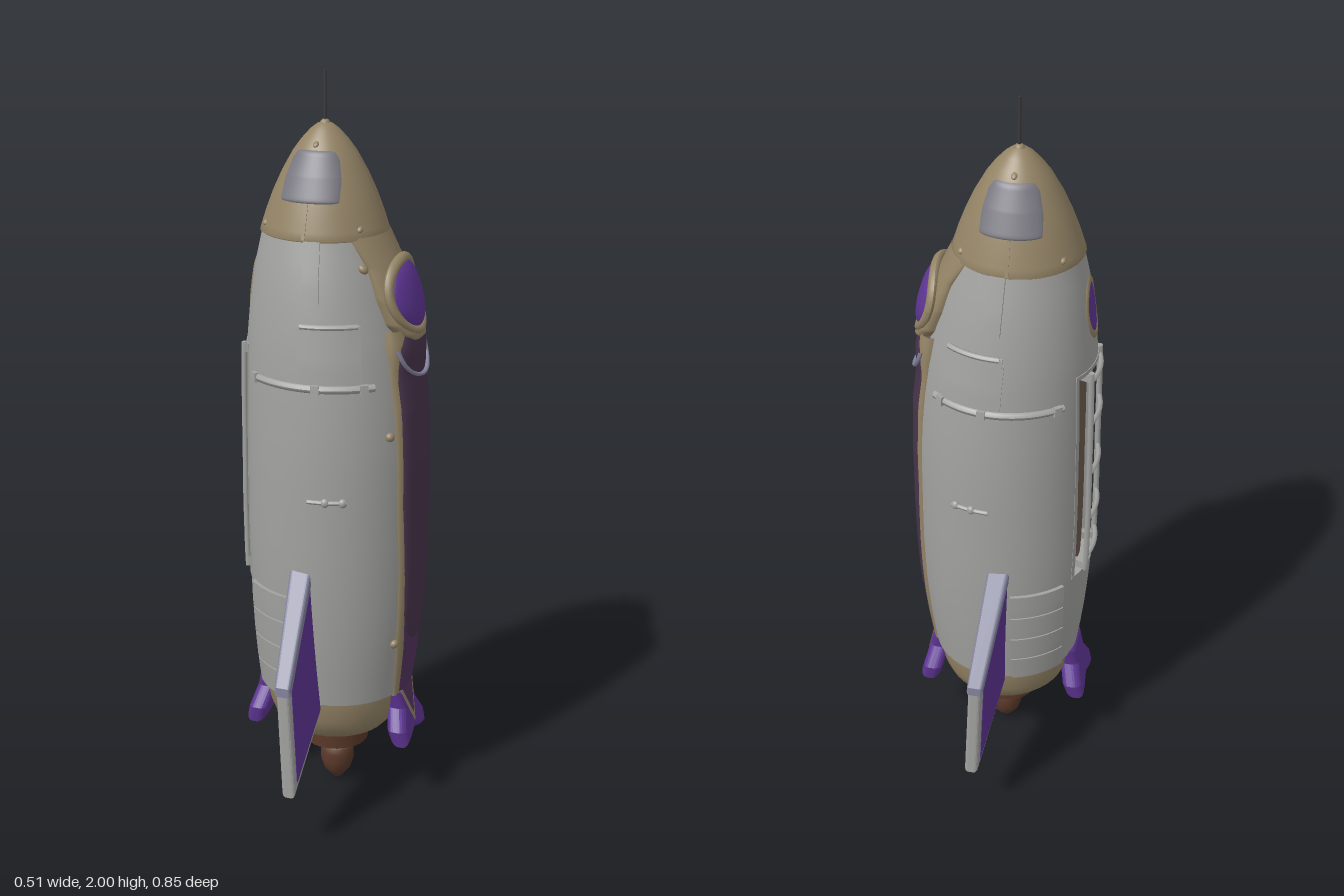
import * as THREE from 'three';

const mat = (name, color) => {
  const m = new THREE.MeshStandardMaterial({ color });
  m.name = name;
  return m;
};
const GREY = mat('hull grey', 0xa2a2a0), TAN = mat('tan', 0x948466), PURPLE = mat('purple', 0x5e3594),
  PLUM = mat('dark plum', 0x48344c), MAUVE = mat('mauve', 0x54345f), BROWN = mat('brown', 0x5c3a2a),
  GLASS = mat('window grey', 0x7a7982), EDGE = mat('fin edge', 0x82829c), DARK = mat('antenna dark', 0x3a3a3a),
  NICHE = mat('niche brown', 0x6d5c50);

// Hull stations: y, centre x, radius x, radius z
const HULL = [
  [0.33, 0, 0.203, 0.195], [0.42, 0, 0.216, 0.207], [0.5, 0, 0.225, 0.215], [0.6, 0, 0.233, 0.222],
  [0.7, 0, 0.237, 0.227], [0.85, 0, 0.239, 0.229], [1, 0, 0.238, 0.229], [1.15, -0.003, 0.235, 0.224],
  [1.3, -0.012, 0.224, 0.212], [1.4, -0.019, 0.208, 0.199], [1.5, -0.025, 0.189, 0.181],
  [1.6, -0.03, 0.163, 0.156], [1.65, -0.03, 0.147, 0.141], [1.7, -0.03, 0.128, 0.124],
  [1.75, -0.03, 0.105, 0.103], [1.8, -0.03, 0.077, 0.077], [1.83, -0.03, 0.055, 0.055],
  [1.855, -0.03, 0.032, 0.032], [1.868, -0.03, 0.015, 0.015], [1.875, -0.03, 0, 0],
];
function lerpTable(table, y) {
  let i = 0;
  while (i < table.length - 2 && y > table[i + 1][0]) i++;
  const a = table[i], b = table[i + 1];
  const t = Math.min(1, Math.max(0, (y - a[0]) / (b[0] - a[0])));
  return a.map((v, k) => v + (b[k] - v) * t);
}
function onHull(y, theta, off) {
  const [, cx, rx, rz] = lerpTable(HULL, y);
  return [cx + (rx + off) * Math.cos(theta), y, (rz + off) * Math.sin(theta)];
}

// Grid surface following the hull; skip(i, j) leaves cells open
function grid(rows, cols, point, skip = () => false) {
  const pos = [], idx = [], open = [];
  for (let i = 0; i <= rows; i++) for (let j = 0; j <= cols; j++) pos.push(...point(i, j));
  for (let i = 0; i < rows; i++) for (let j = 0; j < cols; j++) {
    const a = i * (cols + 1) + j, b = a + 1, c = a + cols + 1, d = c + 1;
    idx.push(a, c, d, a, d, b);
    if (!skip(i, j)) open.push(a, c, d, a, d, b);
  }
  const g = new THREE.BufferGeometry();
  g.setAttribute('position', new THREE.Float32BufferAttribute(pos, 3));
  g.setIndex(idx);
  g.computeVertexNormals();
  g.setIndex(open);
  return g;
}

// Raised plate on the hull; rows are [y, half width, offset]
function plate(theta0, table, n = 40, m = 20) {
  const y0 = table[0][0], y1 = table[table.length - 1][0];
  return grid(n, m, (i, j) => {
    const [y, w, off] = lerpTable(table, y0 + (y1 - y0) * i / n);
    const s = Math.sin((j / m - 0.5) * Math.PI);
    const [, , rx, rz] = lerpTable(HULL, y);
    const edge = Math.sqrt(Math.max(0, 1 - s ** 8));
    return onHull(y, theta0 + s * w / ((rx + rz) / 2), -0.004 + (off + 0.004) * edge);
  });
}

// Bend a geometry onto the hull: x runs around to the right, y up, z outward
function wrap(geo, theta0, u0, y0, off = 0) {
  const p = geo.attributes.position;
  for (let i = 0; i < p.count; i++) {
    const y = y0 + p.getY(i), [, , rx, rz] = lerpTable(HULL, y);
    p.setXYZ(i, ...onHull(y, theta0 - (u0 + p.getX(i)) / ((rx + rz) / 2), off + p.getZ(i)));
  }
  geo.computeVertexNormals();
  return geo;
}
// Shift vertices in x by a rule of their position
function bendX(geo, rule) {
  const p = geo.attributes.position;
  for (let i = 0; i < p.count; i++) p.setX(i, rule(p.getX(i), p.getY(i), p.getZ(i)));
  geo.computeVertexNormals();
  return geo;
}
const box = (w, h, d) => new THREE.BoxGeometry(w, h, d, 8, 8, 1);
const bar = (len, r) => new THREE.CylinderGeometry(r, r, len, 8, 16).rotateZ(Math.PI / 2);
const post = (len, r) => new THREE.CylinderGeometry(r, r, len, 8, 24);
const ball = (x, y, z) => new THREE.SphereGeometry(1, 28, 18).scale(x, y, z);
const lathe = pts => new THREE.LatheGeometry(pts.map(p => new THREE.Vector2(...p)), 40);
const outline = pts => new THREE.Shape(pts.map(p => new THREE.Vector2(...p)));

export function createModel() {
  const root = new THREE.Group();
  root.name = 'rocket';
  const add = (name, geo, material) => {
    const m = new THREE.Mesh(geo, material);
    m.name = name;
    root.add(m);
  };

  // Hull with an open niche for the ladder on the -x side
  const ys = [0.33, 0.4, 0.47, 0.53, 0.59, 0.65, 0.72, 0.8, 0.9, 1, 1.1, 1.2, 1.3, 1.35, 1.4, 1.45, 1.5, 1.55, 1.605];
  const lo = ys.indexOf(0.65), hi = ys.indexOf(1.3);
  add('hull', grid(ys.length - 1, 48, (i, j) => onHull(ys[i], j * Math.PI / 24, 0),
    (i, j) => i >= lo && i < hi && j >= 20 && j < 28), GREY);

  // Ladder niche and ladder
  const L = Math.PI;
  add('nicheBack', wrap(box(0.26, 0.67, 0.006), L, 0, 0.975, -0.033), NICHE);
  for (const s of [-1, 1]) {
    add('nicheWall', wrap(box(0.012, 0.66, 0.038), L, s * 0.12, 0.975, -0.018), GREY);
    add('nicheLedge', wrap(box(0.25, 0.012, 0.038), L, 0, 0.975 + s * 0.325, -0.017), GREY);
    add('ladderRail', wrap(post(0.64, 0.008), L, s * 0.07, 0.975, 0.007), GREY);
    for (const y of [0.67, 1.28]) add('railMount', wrap(box(0.016, 0.022, 0.04), L, s * 0.07, y, -0.013), GREY);
  }
  for (const y of [0.7, 0.83, 0.98, 1.14, 1.27]) add('ladderRung', wrap(bar(0.14, 0.007), L, 0, y, 0.007), GREY);

  // Nose cone with lip, antenna
  const ny = [1.595, 1.6, 1.62, 1.65, 1.675, 1.7, 1.725, 1.75, 1.775, 1.8, 1.83, 1.855, 1.868, 1.875];
  add('noseCone', grid(ny.length - 1, 48, (i, j) =>
    onHull(ny[i], j * Math.PI / 24, i === 0 ? -0.002 : i === ny.length - 1 ? 0 : 0.005)), TAN);
  add('antenna', new THREE.CylinderGeometry(0.004, 0.005, 0.135, 8).translate(-0.03, 1.9325, 0), DARK);
  add('antennaBase', new THREE.SphereGeometry(0.014, 14, 10).translate(-0.03, 1.866, 0), TAN);

  // Front and back fittings
  for (const s of [-1, 1]) {
    const T = s * Math.PI / 2;
    const fit = (name, geo, u, y, off, m = GREY) => add(name, wrap(geo, T, s * u, y, off), m);
    add('cockpitWindow', plate(T, [[1.688, 0.082, 0.004], [1.692, 0.087, 0.008], [1.74, 0.086, 0.008],
      [1.79, 0.072, 0.008], [1.808, 0.055, 0.008], [1.812, 0.045, 0.004]]), GLASS);
    fit('noseSeam', box(0.008, 0.085, 0.006), 0, 1.645, 0.004, TAN);
    fit('upperStrip', box(0.04, 0.15, 0.012), 0.022, 1.525, 0.003);
    fit('hatchPanel', box(0.16, 0.13, 0.012), 0.065, 1.315, 0.002);
    fit('hatchHandle', box(0.155, 0.03, 0.018), 0.067, 1.38, 0.002);
    fit('hatchHandle', bar(0.14, 0.007), 0.067, 1.393, 0.006);
    fit('curvedRail', bar(0.36, 0.011), 0, 1.235, -0.002);
    for (const u of [-0.16, 0.03, 0.15]) fit('railClip', box(0.02, 0.024, 0.022), u, 1.235, 0.001);
    fit('smallHandle', bar(0.1, 0.006), 0.055, 0.935, 0.003);
    for (const u of [0.05, 0.095]) fit('handleKnob', ball(0.011, 0.012, 0.009), u, 0.935, 0.003);
    for (let k = 0; k < 4; k++) fit('ventStep', box(0.15, 0.076, 0.016), -0.125, 0.373 + k * 0.08, 0.002);
    for (const u of [-0.14, 0.14]) fit('noseBolt', ball(0.008, 0.008, 0.008), u, 1.625, 0.003, TAN);
    fit('noseBolt', ball(0.007, 0.007, 0.007), 0, 1.825, 0.006, TAN);
  }

  // Long side panel with its frame, bolts along one edge
  add('panelFrame', plate(0, [[0.325, 0.072, 0.007], [0.5, 0.097, 0.008], [0.9, 0.118, 0.009],
    [1.25, 0.12, 0.012], [1.32, 0.118, 0.024], [1.37, 0.11, 0.026]]), TAN);
  add('lowerPanel', plate(0, [[0.335, 0.06, 0.01], [0.56, 0.089, 0.01]]), MAUVE);
  add('longPanel', plate(0, [[0.485, 0.01, 0.006], [0.49, 0.035, 0.011], [0.505, 0.058, 0.012], [0.53, 0.075, 0.013],
    [0.58, 0.088, 0.013], [0.9, 0.108, 0.014], [1.25, 0.11, 0.017], [1.32, 0.106, 0.028], [1.36, 0.08, 0.029]], 80), PLUM);
  add('panelBand', wrap(new THREE.TorusGeometry(0.098, 0.006, 8, 28, Math.PI).rotateZ(Math.PI).scale(1, 0.85, 1),
    0, 0, 1.325, 0.022), EDGE);
  for (const [y, u] of [[1.53, 0.125], [1.1, 0.14], [0.5, 0.105]])
    add('frameBolt', wrap(ball(0.012, 0.012, 0.012), 0, -u, y, 0.002), TAN);

  // Large porthole in its raised housing
  add('portholeHousing', plate(0, [[1.334, 0.02, 0.02], [1.338, 0.045, 0.034], [1.355, 0.077, 0.036],
    [1.385, 0.1, 0.034], [1.45, 0.112, 0.028], [1.53, 0.114, 0.018], [1.605, 0.135, 0.006]], 60), TAN);
  add('portholeRing', wrap(new THREE.TorusGeometry(0.091, 0.012, 10, 40), 0, 0, 1.45, 0.028), TAN);
  add('portholeGlass', wrap(ball(0.084, 0.084, 0.022), 0, 0, 1.45, 0.029), PURPLE);

  // Small porthole above the ladder
  add('smallPortholeRing', wrap(new THREE.TorusGeometry(0.05, 0.009, 10, 36).scale(1, 1.5, 1), L, 0, 1.45, -0.005), TAN);
  add('smallPortholeGlass', wrap(ball(0.046, 0.07, 0.005), L, 0, 1.45, -0.001), PURPLE);

  // Skirt and engine
  add('skirt', lathe([[0.13, 0.205], [0.145, 0.207], [0.17, 0.235], [0.184, 0.27], [0.196, 0.33], [0.19, 0.34]]), TAN);
  add('engineDish', lathe([[0.001, 0.225], [0.09, 0.222], [0.125, 0.202], [0.138, 0.206]]), BROWN);
  add('engineDrum', new THREE.CylinderGeometry(0.096, 0.09, 0.075, 32).translate(0, 0.175, 0), BROWN);
  add('nozzleCollar', new THREE.CylinderGeometry(0.05, 0.046, 0.08, 28).translate(0.003, 0.15, 0), TAN);
  add('nozzle', lathe([[0.001, 0], [0.012, 0.004], [0.024, 0.018], [0.038, 0.036], [0.046, 0.062],
    [0.047, 0.09], [0.042, 0.122], [0.001, 0.124]]).translate(0.003, 0, 0), BROWN);

  // Large fins: grey rim, rounded leading edge, purple faces; tapered and slightly sheared
  const finGeo = (pts, thick, bevel, s) => {
    const g = new THREE.ExtrudeGeometry(outline(pts), { depth: thick - 2 * bevel, bevelEnabled: bevel > 0,
      bevelSize: bevel, bevelThickness: bevel, bevelOffset: -bevel, bevelSegments: 4 });
    g.translate(0, 0, bevel - thick / 2).rotateY(-s * Math.PI / 2);
    return bendX(g, (x, y, z) => x * (1.5 - 1.6 * Math.abs(z)) - 0.045 * (y - 0.45) + 0.07 * (Math.abs(z) - 0.32));
  };
  for (const s of [-1, 1]) {
    add('finRim', finGeo([[0.18, 0.3], [0.42, 0.17], [0.421, 0.485], [0.225, 0.722], [0.18, 0.722]], 0.044, 0.012, s), GREY);
    add('finLeadingEdge', finGeo([[0.18, 0.69], [0.22, 0.69], [0.398, 0.474], [0.423, 0.465], [0.422, 0.49],
      [0.225, 0.732], [0.18, 0.732]], 0.052, 0.009, s), EDGE);
    add('finFace', finGeo([[0.19, 0.317], [0.398, 0.205], [0.4, 0.476], [0.222, 0.692], [0.19, 0.692]], 0.047, 0, s), PURPLE);
  }

  // Small forked feet, puffy and leaning outward
  const footGeo = (pts, depth, bevel, x0, s) => {
    const g = new THREE.ExtrudeGeometry(outline(pts), { depth, bevelEnabled: bevel > 0, bevelSize: bevel,
      bevelThickness: bevel, bevelOffset: 0.004 - bevel, bevelSegments: 5 });
    g.translate(0, 0, x0).rotateY(s * Math.PI / 2);
    return bendX(g, (x, y) => x + s * (0.335 - y) * 0.25);
  };
  const half = [[0.062, 0.335], [0.052, 0.28], [0.088, 0.225], [0.08, 0.182], [0.045, 0.187]];
  const footOutline = [...half, [0, 0.203], ...half.map(([a, b]) => [-a, b]).reverse()];
  for (const s of [-1, 1]) add('forkedFoot', footGeo(footOutline, 0.012, 0.022, 0.172, s), PURPLE);

  // Pointed tip of the side panel, lying over its foot
  add('panelTipFrame', footGeo([[-0.05, 0.335], [0, 0.225], [0.05, 0.335]], 0.004, 0, 0.204, 1), TAN);
  add('panelTip', footGeo([[-0.038, 0.335], [0, 0.25], [0.038, 0.335]], 0.004, 0, 0.206, 1), MAUVE);
  return root;
}
